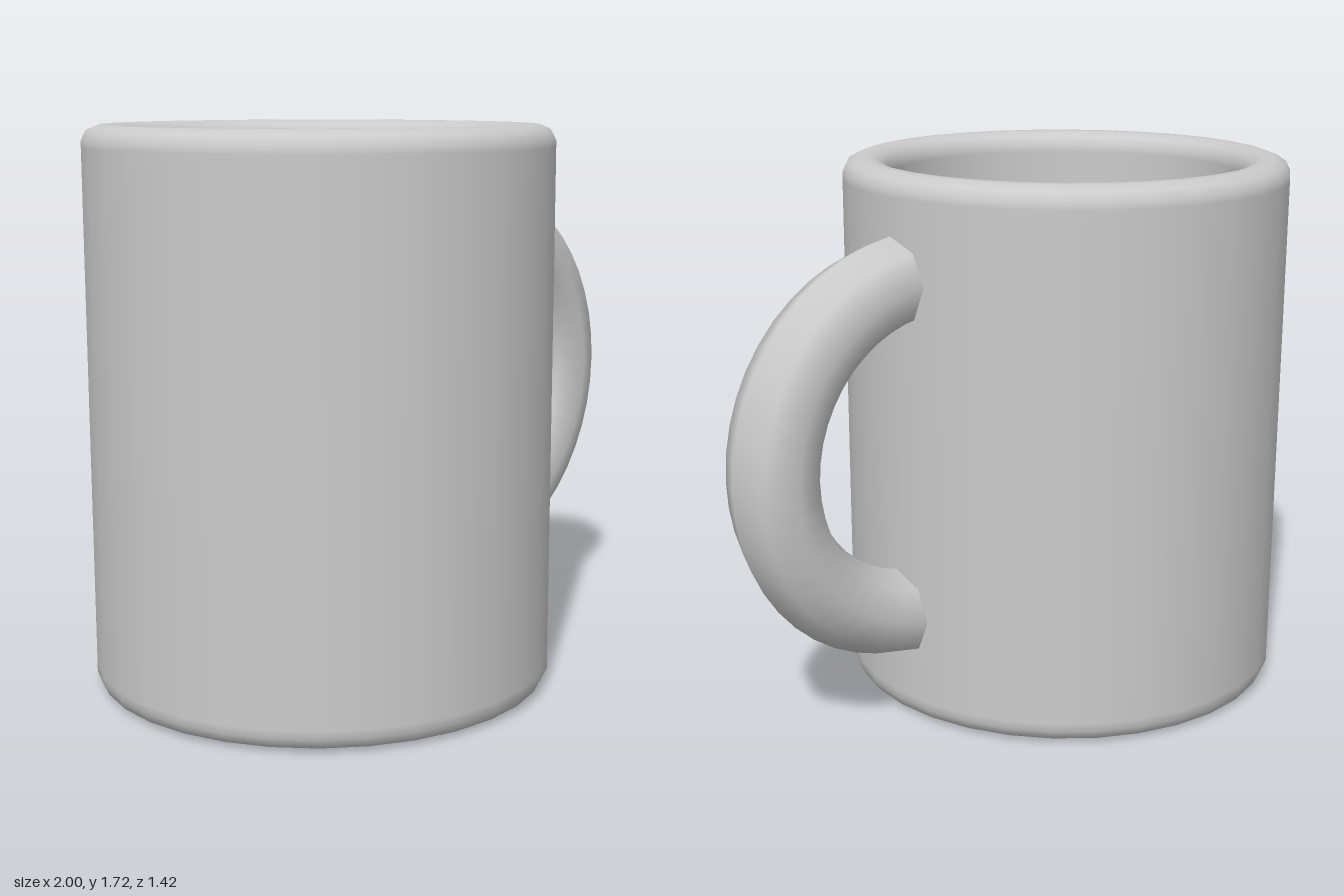
import * as THREE from 'three';

export function createModel() {
  const group = new THREE.Group();
  const material = new THREE.MeshStandardMaterial({ color: 0xcccccc });
  const add = (name, geometry, x, y) => {
    const mesh = new THREE.Mesh(geometry, material);
    mesh.name = name;
    mesh.position.set(x, y, 0);
    group.add(mesh);
    return mesh;
  };

  // Cup: one profile running from under the base, up and over the rim, down to the inner floor
  const profile = [
    [0, 0], [0.64, 0], [0.66, 0.003], [0.695, 0.015], [0.71, 0.045], [0.71, 0.07],
    [0.71, 1.65], [0.71, 1.67], [0.695, 1.7], [0.66, 1.715],
    [0.62, 1.715], [0.585, 1.7], [0.57, 1.67], [0.57, 1.65],
    [0.57, 0.18], [0.565, 0.15], [0.54, 0.14], [0, 0.14],
  ].map(([r, y]) => new THREE.Vector2(r, y));
  add('cup', new THREE.LatheGeometry(profile, 32), -0.29, 0);

  // Handle: eight-sided half ring whose ends are buried in the cup wall
  const handle = add('handle', new THREE.TorusGeometry(0.533, 0.138, 8, 24, Math.PI), 0.329, 0.87);
  handle.rotation.z = -Math.PI / 2;

  return group;
}
